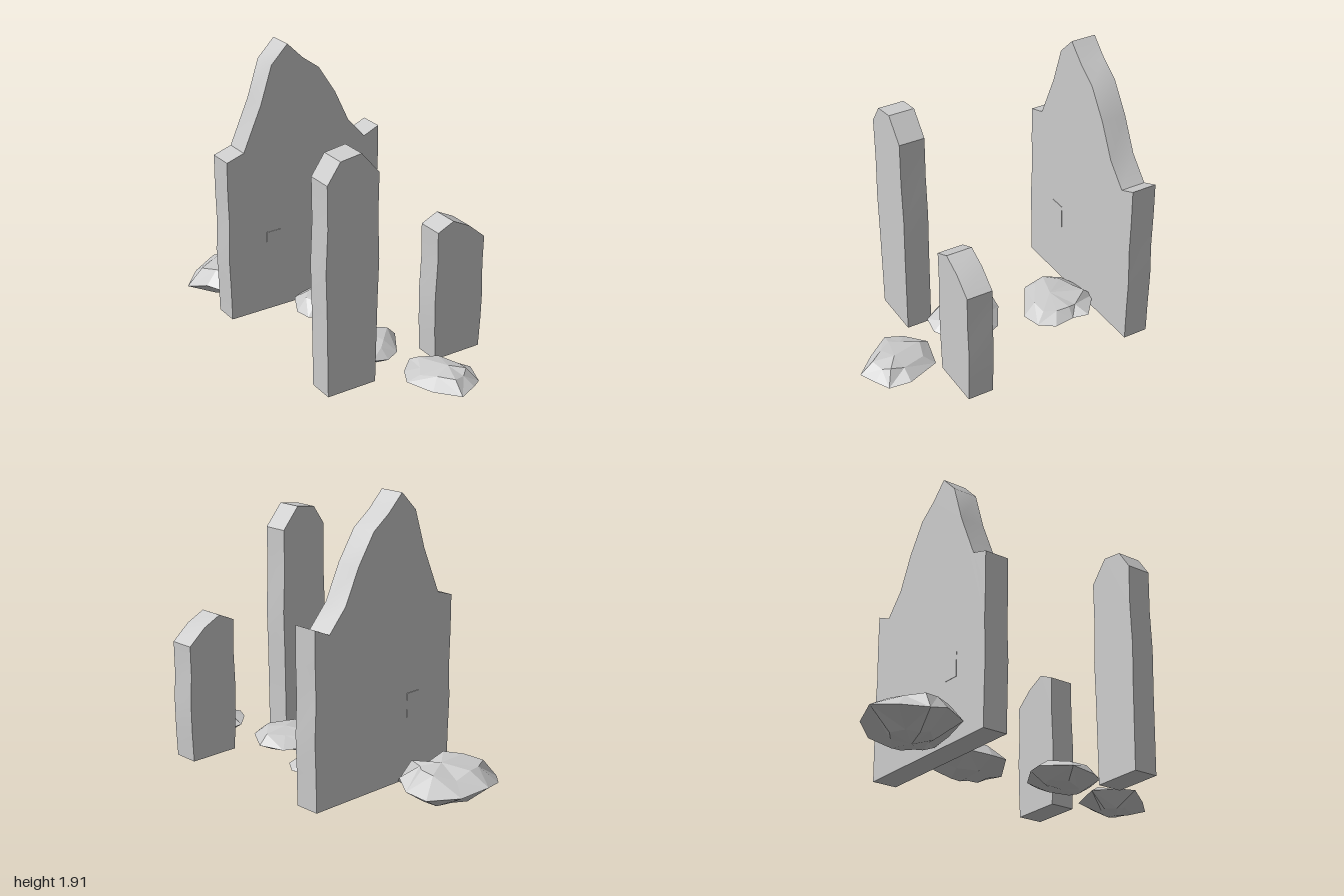
import * as THREE from 'three';
import { toCreasedNormals } from 'three/addons/utils/BufferGeometryUtils.js';

const BASE = 0.07; // underside of the standing slabs

const stoneMaterial = (flatShading) => new THREE.MeshStandardMaterial({ color: 0xcccccc, flatShading });

// Standing slab: crest runs left to right, the sides waver slightly down to the base
function makeSlab({ name, x, z, angle, thickness, crest, waver }) {
  const [left, right] = [crest[0], crest[crest.length - 1]];
  const side = ([u, top], sign) => waver.map((w, i) => {
    const t = (i + 1) / (waver.length + 1);
    return new THREE.Vector2(u + sign * w, top + (BASE - top) * t);
  });
  const inset = 0.008;
  const outline = [
    ...crest.map(([u, y]) => new THREE.Vector2(u, y)),
    ...side(right, 1),
    new THREE.Vector2(right[0] - inset, BASE),
    new THREE.Vector2(left[0] + inset, BASE),
    ...side(left, -1).reverse(),
  ];
  const geometry = new THREE.ExtrudeGeometry(new THREE.Shape(outline), {
    depth: thickness, bevelEnabled: false,
  });
  geometry.translate(0, 0, -thickness / 2);
  const mesh = new THREE.Mesh(toCreasedNormals(geometry, 0.55), stoneMaterial(false));
  mesh.name = name;
  mesh.position.set(x, 0, z);
  mesh.rotation.y = angle;
  return mesh;
}

// Faceted boulder: plan outline (clockwise from above) stacked in scaled, jittered rings
function makeRock({ name, low, high, outline, seed }) {
  let s = seed;
  const jitter = (amount) => {
    s = (s * 16807) % 2147483647;
    return (s / 2147483647 - 0.5) * 2 * amount;
  };
  const n = outline.length;
  const cx = outline.reduce((a, p) => a + p[0], 0) / n;
  const cz = outline.reduce((a, p) => a + p[1], 0) / n;
  const h = high - low;
  const levels = [[0.5, 0.1], [1, 0.5], [0.66, 0.86]]; // ring scale, height share
  const rings = levels.map(([scale, t]) => outline.map(([px, pz]) => {
    const k = scale === 1 ? 1 : scale + jitter(0.1);
    const y = low + h * (t + jitter(scale === 1 ? 0.16 : 0.08));
    return [cx + (px - cx) * k, y, cz + (pz - cz) * k];
  }));
  const bottom = [cx, low, cz];
  const top = [cx + jitter(0.05), high, cz + jitter(0.05)];

  const positions = [];
  const face = (...corners) => corners.forEach((c) => positions.push(...c));
  for (let i = 0; i < n; i++) {
    const j = (i + 1) % n;
    face(rings[0][i], rings[0][j], bottom);
    face(rings[2][i], top, rings[2][j]);
    for (let r = 0; r < 2; r++) {
      const [a, b, c, d] = [rings[r][i], rings[r + 1][i], rings[r + 1][j], rings[r][j]];
      // alternate the diagonals for an irregular, chipped surface
      if ((i + r) % 2) { face(a, b, c); face(a, c, d); } else { face(a, b, d); face(b, c, d); }
    }
  }
  const geometry = new THREE.BufferGeometry();
  geometry.setAttribute('position', new THREE.Float32BufferAttribute(positions, 3));
  geometry.computeVertexNormals();
  const mesh = new THREE.Mesh(geometry, stoneMaterial(true));
  mesh.name = name;
  return mesh;
}

export function createModel() {
  const group = new THREE.Group();
  group.name = 'standingStones';

  // Three upright slabs, all turned the same way
  const largeSlab = makeSlab({
    name: 'largeSlab', x: -0.225, z: -0.46, angle: 0.652, thickness: 0.167,
    crest: [[-0.585, 1.2], [-0.46, 1.24], [-0.327, 1.54], [-0.245, 1.79], [-0.125, 1.91],
      [-0.013, 1.8], [0.11, 1.71], [0.235, 1.52], [0.34, 1.3], [0.47, 1.155], [0.585, 1.205]],
    waver: [0, -0.006, 0.004, -0.004],
  });
  group.add(largeSlab);
  group.add(makeSlab({
    name: 'tallSlab', x: 0.155, z: 0.7, angle: 0.645, thickness: 0.17,
    crest: [[-0.18, 1.47], [-0.09, 1.6], [0.055, 1.62], [0.18, 1.475]],
    waver: [-0.004, 0.008, 0, -0.004],
  }));
  group.add(makeSlab({
    name: 'shortSlab', x: 0.797, z: 0.21, angle: 0.645, thickness: 0.17,
    crest: [[-0.18, 0.96], [-0.065, 1.012], [0.06, 0.95], [0.18, 0.848]],
    waver: [-0.004, 0.006, 0.002],
  }));

  // Small block let through the large slab, nearly flush with both faces
  const inset = new THREE.Mesh(new THREE.BoxGeometry(0.11, 0.16, 0.173), stoneMaterial(false));
  inset.name = 'insetBlock';
  inset.position.set(-0.248, 0.56, 0);
  largeSlab.add(inset);

  // Boulders scattered around the slabs
  const rocks = [
    { name: 'backRock', low: 0, high: 0.25, seed: 11,
      outline: [[-0.69, -0.88], [-0.48, -0.85], [-0.38, -0.71], [-0.36, -0.57], [-0.37, -0.47],
        [-0.51, -0.38], [-0.68, -0.29], [-0.85, -0.37], [-1, -0.46], [-0.97, -0.64], [-0.87, -0.81]] },
    { name: 'middleRock', low: 0.04, high: 0.205, seed: 23,
      outline: [[-0.07, -0.51], [0.16, -0.5], [0.19, -0.4], [0.28, -0.3], [0.285, -0.18],
        [0.18, -0.08], [-0.13, -0.05], [-0.21, -0.13], [-0.24, -0.28], [-0.2, -0.4]] },
    { name: 'frontRock', low: 0.04, high: 0.2, seed: 37,
      outline: [[0.3, 0.08], [0.45, 0.15], [0.47, 0.38], [0.42, 0.48], [0.32, 0.54],
        [0.17, 0.5], [-0.01, 0.36], [0.02, 0.15], [0.11, 0.1]] },
    { name: 'sideRock', low: 0.04, high: 0.205, seed: 53,
      outline: [[0.72, 0.42], [0.93, 0.54], [0.98, 0.67], [0.95, 0.76], [0.88, 0.87],
        [0.7, 0.84], [0.54, 0.78], [0.52, 0.66], [0.55, 0.5]] },
  ];
  rocks.forEach((rock) => group.add(makeRock(rock)));

  return group;
}
